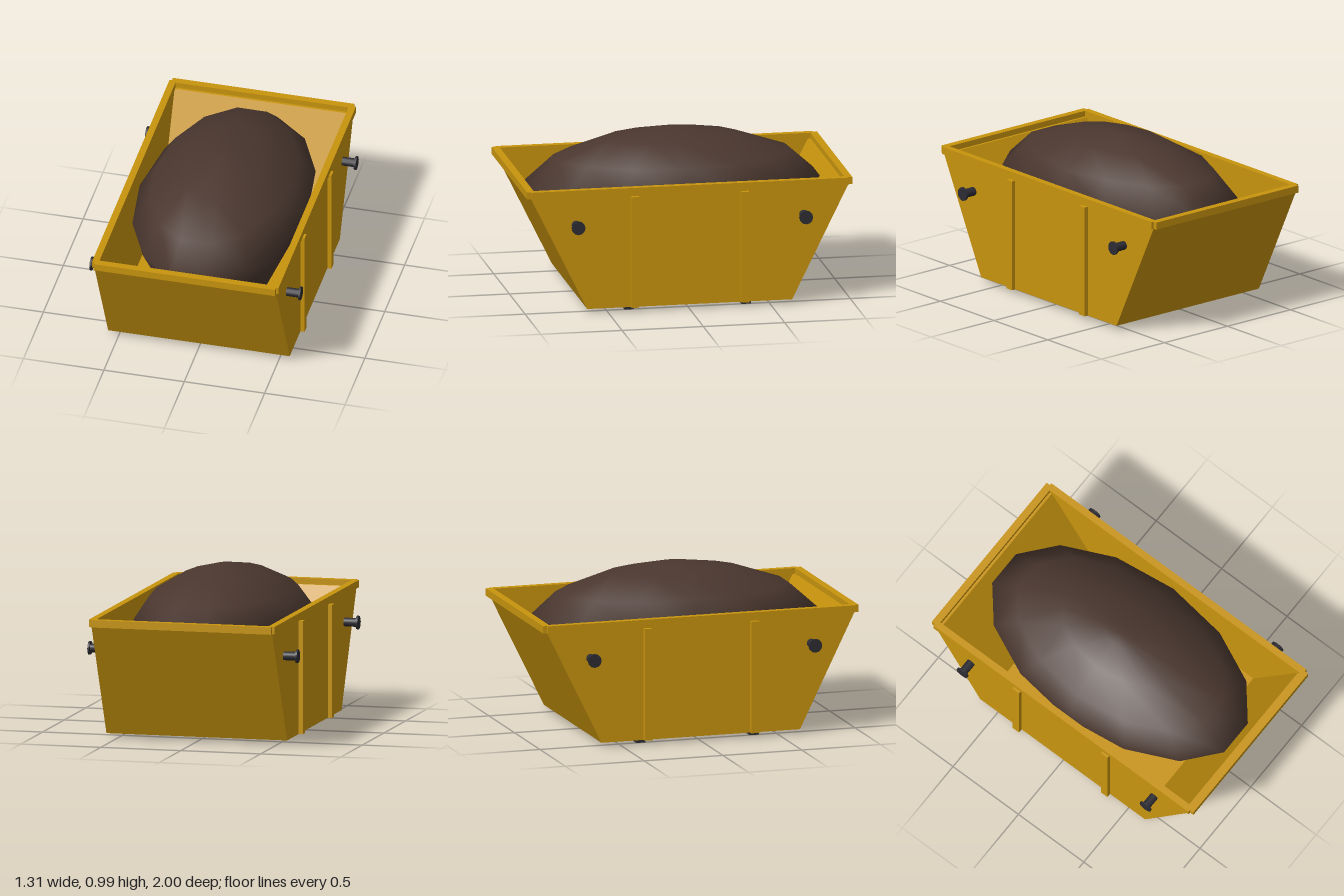
import * as THREE from 'three';

const paint = new THREE.MeshStandardMaterial({ color: 0xc8940e });
paint.name = 'yellowPaint';
const steel = new THREE.MeshStandardMaterial({ color: 0x2c2c33 });
steel.name = 'darkSteel';
const soil = new THREE.MeshStandardMaterial({ color: 0x4a372f });
soil.name = 'brownSoil';

export function createModel() {
  const model = new THREE.Group();

  const add = (name, geometry, material, x = 0, y = 0, z = 0) => {
    const mesh = new THREE.Mesh(geometry, material);
    mesh.name = name;
    mesh.position.set(x, y, z);
    model.add(mesh);
    return mesh;
  };
  const box = (name, material, w, h, d, x, y, z) =>
    add(name, new THREE.BoxGeometry(w, h, d), material, x, y, z);

  // Extrude a (z, y) outline across the width
  const acrossWidth = (points, width) => {
    const shape = new THREE.Shape(points.map(([z, y]) => new THREE.Vector2(z, y)));
    const geometry = new THREE.ExtrudeGeometry(shape, { depth: width, bevelEnabled: false });
    return geometry.translate(0, 0, -width / 2).rotateY(-Math.PI / 2);
  };

  // Floor and sloping end walls in one bent sheet
  const outer = [[-0.98, 0.74], [-0.63, 0.03], [0.63, 0.03], [0.98, 0.74]];
  const inner = [[0.94, 0.74], [0.6, 0.07], [-0.6, 0.07], [-0.94, 0.74]];
  add('floorAndEndWalls', acrossWidth([...outer, ...inner], 1.08), paint);

  // Rails across the two ends
  for (const end of [1, -1]) {
    box('endRim', paint, 1.13, 0.045, 0.045, 0, 0.7525, end * 0.9775);
    box('groundSkid', steel, 1.01, 0.03, 0.06, 0, 0.015, end * 0.36);
  }

  for (const side of [1, -1]) {
    add('sideWall', acrossWidth(outer, 0.025), paint, side * 0.5525);
    box('sideRim', paint, 0.042, 0.045, 1.95, side * 0.559, 0.7525, 0);

    for (const end of [1, -1]) {
      box('sideRib', paint, 0.03, 0.69, 0.05, side * 0.576, 0.375, end * 0.338);

      // Lifting lug: a pin with a flange at its outer end
      const pin = new THREE.CylinderGeometry(0.027, 0.027, 0.09, 12).rotateZ(Math.PI / 2);
      add('liftingPin', pin, steel, side * 0.6, 0.558, end * 0.7);
      const flange = new THREE.CylinderGeometry(0.042, 0.042, 0.012, 12).rotateZ(Math.PI / 2);
      add('liftingPinFlange', flange, steel, side * 0.649, 0.558, end * 0.7);
    }
  }

  // Heaped load, stretched along the skip
  const profile = [
    [0.5, 0.08], [0.85, 0.5], [0.975, 0.676], [0.782, 0.835],
    [0.437, 0.945], [0.115, 0.992], [0, 0.994],
  ].map(([r, y]) => new THREE.Vector2(r, y));
  const heap = new THREE.LatheGeometry(profile, 14).rotateY(Math.PI / 2).scale(0.538, 1, 0.933);
  add('soilHeap', heap, soil);

  return model;
}
